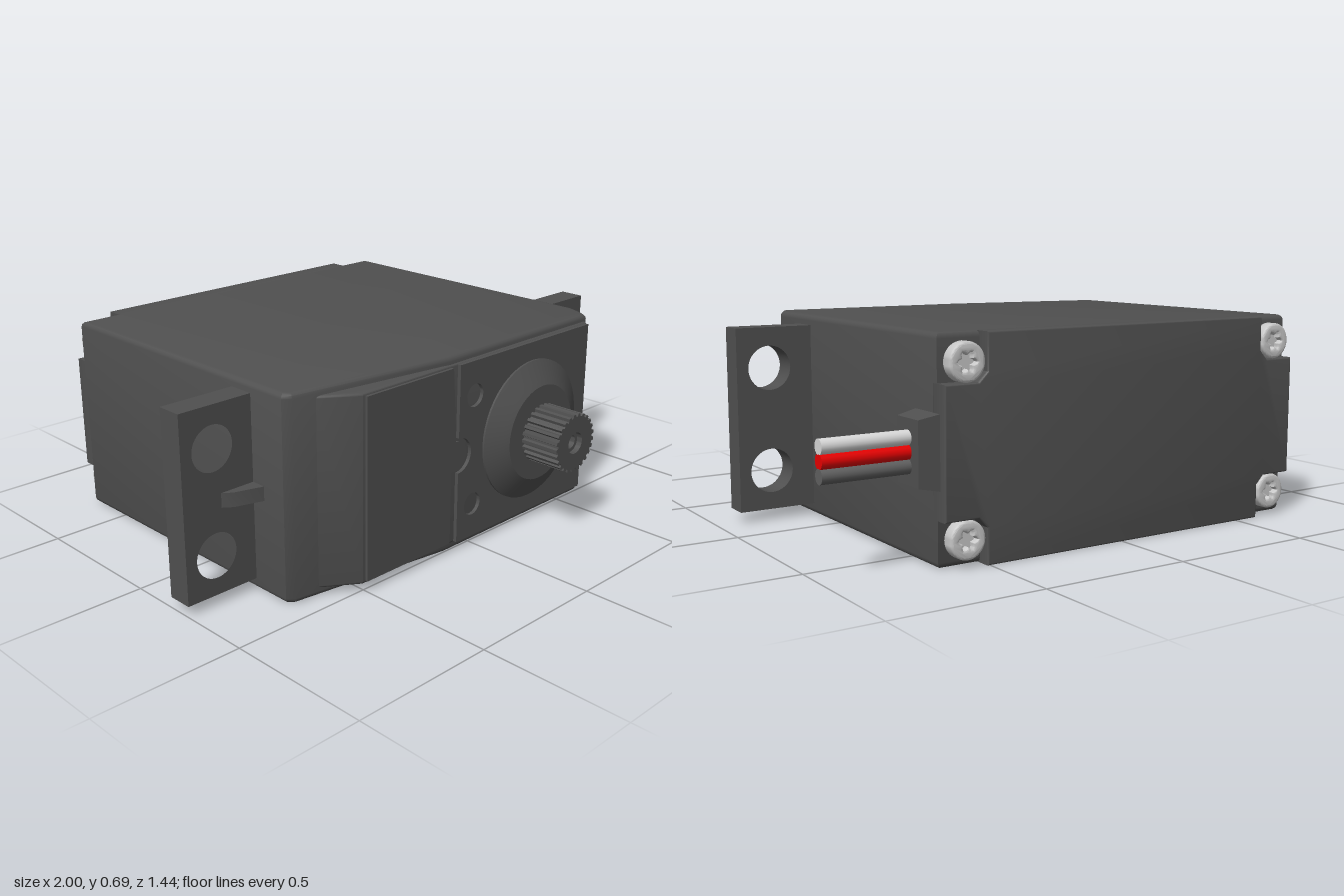
import * as THREE from 'three';
import { toCreasedNormals } from 'three/addons/utils/BufferGeometryUtils.js';

const mat = (name, color) => new THREE.MeshStandardMaterial({ name, color });
const CX = -0.04, CY = 0.348; // symmetry axis of the case

const polygon = (pts) => new THREE.Shape(pts.map(([x, y]) => new THREE.Vector2(x, y)));
const rect = (x0, y0, x1, y1) => polygon([[x0, y0], [x1, y0], [x1, y1], [x0, y1]]);
function addHole(shape, x, y, r) {
  const hole = new THREE.Path();
  hole.absarc(x, y, r, 0, Math.PI * 2, true);
  shape.holes.push(hole);
}
// extrude an xy shape between two z values
function extrudeZ(shape, z0, z1, bevel = 0) {
  const g = new THREE.ExtrudeGeometry(shape, {
    depth: z1 - z0 - 2 * bevel, curveSegments: 20, bevelEnabled: bevel > 0,
    bevelSize: bevel, bevelOffset: -bevel, bevelThickness: bevel, bevelSegments: 3,
  });
  g.translate(0, 0, z0 + bevel);
  return toCreasedNormals(g, 0.6);
}
// extrude an xz outline between two heights
function extrudeY(pts, y0, y1, bevel = 0) {
  const g = extrudeZ(polygon(pts.map(([x, z]) => [x, -z])), y0, y1, bevel);
  return g.rotateX(-Math.PI / 2);
}

export function createModel() {
  const model = new THREE.Group();
  const plastic = mat('dark plastic', 0x505050);
  const steel = mat('screw steel', 0xc8c8c8);
  const white = mat('white wire', 0xd8d8d8);
  const red = mat('red wire', 0xf00000);
  const grey = mat('grey wire', 0x606060);
  const add = (name, geometry, material = plastic, parent = model) => {
    const mesh = new THREE.Mesh(geometry, material);
    mesh.name = name;
    parent.add(mesh);
    return mesh;
  };

  // main case with sloping front left
  add('case', extrudeY([
    [-0.735, -0.675], [0.653, -0.675], [0.653, 0.41], [0.635, 0.46], [0.615, 0.5],
    [-0.12, 0.505], [-0.71, 0.42], [-0.735, 0.40],
  ], 0.003, 0.693, 0.018));

  // back cover with notched corners for the screws
  const W = 0.694, H = 0.345, n = 0.145, corner = [];
  for (const [sx, sy] of [[1, 1], [-1, 1], [-1, -1], [1, -1]]) {
    const c = [[W, H - n], [W - n + 0.03, H - n], [W - n, H - n + 0.03], [W - n, H]];
    if (sx * sy < 0) c.reverse();
    corner.push(...c.map(([x, y]) => [CX + sx * x, CY + sy * y]));
  }
  add('backCover', extrudeZ(polygon(corner), -0.72, -0.65, 0.006));

  // case screws with star sockets
  for (const sx of [-1, 1]) for (const sy of [-1, 1]) {
    const screw = new THREE.Group();
    screw.name = 'caseScrew';
    const head = new THREE.Shape();
    head.absarc(0, 0, 0.06, 0, Math.PI * 2);
    const star = [];
    for (let i = 0; i < 36; i++) {
      const a = i / 36 * Math.PI * 2, r = 0.026 + 0.006 * Math.cos(6 * a);
      star.push(new THREE.Vector2(r * Math.cos(a), r * Math.sin(a)));
    }
    head.holes.push(new THREE.Path(star));
    add('screwHead', extrudeZ(head, 0, 0.045, 0.008), steel, screw);
    const floor = add('socketFloor', new THREE.CylinderGeometry(0.04, 0.04, 0.01, 24), steel, screw);
    floor.rotation.x = Math.PI / 2;
    floor.position.z = 0.018;
    screw.rotation.y = Math.PI;
    screw.position.set(CX + sx * 0.615, CY + sy * 0.26, -0.674);
    model.add(screw);
  }

  // raised front block with chamfered ends
  add('frontBlock', extrudeY([
    [-0.63, 0.40], [-0.63, 0.43], [-0.51, 0.51], [0.605, 0.51], [0.64, 0.43], [0.64, 0.40],
  ], 0.03, 0.667, 0.008));

  // front plates, split by a groove with a round tab
  const left = new THREE.Shape();
  left.moveTo(-0.5, 0.04);
  left.lineTo(-0.115, 0.04);
  left.lineTo(-0.115, CY - 0.05);
  left.absarc(-0.095, CY, 0.052, -Math.PI / 2, Math.PI / 2);
  left.lineTo(-0.115, 0.657);
  left.lineTo(-0.5, 0.657);
  add('leftFrontPlate', extrudeZ(left, 0.505, 0.52));
  const right = new THREE.Shape();
  right.moveTo(-0.085, 0.035);
  right.lineTo(0.6, 0.035);
  right.lineTo(0.6, 0.662);
  right.lineTo(-0.085, 0.662);
  right.lineTo(-0.085, CY + 0.062);
  right.absarc(-0.085, CY, 0.062, Math.PI / 2, -Math.PI / 2, true);
  for (const s of [-1, 1]) addHole(right, -0.01, CY + s * 0.194, 0.04);
  add('rightFrontPlate', extrudeZ(right, 0.5, 0.523));

  // stepped boss around the output shaft
  const boss = new THREE.LatheGeometry([
    [0.25, 0], [0.25, 0.01], [0.19, 0.045], [0.17, 0.055], [0, 0.055],
  ].map(([r, h]) => new THREE.Vector2(r, h)), 48);
  const bossMesh = add('shaftBoss', toCreasedNormals(boss, 0.35));
  bossMesh.rotation.x = Math.PI / 2;
  bossMesh.position.set(0.285, CY, 0.52);

  // splined output shaft with a stepped bore
  const teeth = [];
  for (let i = 0; i < 25; i++) {
    [[0, 0.094], [0.3, 0.094], [0.45, 0.104], [0.85, 0.104]].forEach(([t, r]) => {
      const a = (i + t) / 25 * Math.PI * 2;
      teeth.push([r * Math.cos(a), r * Math.sin(a)]);
    });
  }
  const shaft = new THREE.Group();
  shaft.name = 'outputShaft';
  const spline = polygon(teeth);
  addHole(spline, 0, 0, 0.038);
  add('spline', extrudeZ(spline, 0.57, 0.72), plastic, shaft);
  const bore = new THREE.Shape();
  bore.absarc(0, 0, 0.045, 0, Math.PI * 2);
  addHole(bore, 0, 0, 0.025);
  add('boreStep', extrudeZ(bore, 0.57, 0.70), plastic, shaft);
  shaft.position.set(0.285, CY, 0);
  model.add(shaft);

  // mounting ears with two holes and a stiffening rib
  for (const s of [-1, 1]) {
    const X = (d) => CX + s * d;
    const ear = rect(X(0.68), 0.04, X(0.96), 0.66);
    for (const t of [-1, 1]) addHole(ear, X(0.845), CY + t * 0.175, 0.075);
    add('mountingEar', extrudeZ(ear, 0.17, 0.258));
    add('earRib', extrudeY([
      [X(0.68), 0.25], [X(0.68), 0.312], [X(0.70), 0.308], [X(0.79), 0.28], [X(0.83), 0.25],
    ], 0.324, 0.372));
  }

  // tapered cable grommet
  const grommet = new THREE.BoxGeometry(0.08, 0.23, 0.145);
  const p = grommet.attributes.position;
  for (let i = 0; i < p.count; i++) {
    if (p.getX(i) > 0) p.setXYZ(i, p.getX(i), p.getY(i) * 0.86, p.getZ(i) * 0.84);
  }
  grommet.computeVertexNormals();
  add('cableGrommet', grommet).position.set(0.68, 0.35, -0.622);

  // three wires
  [['greyWire', grey], ['redWire', red], ['whiteWire', white]].forEach(([name, material], i) => {
    const wire = add(name, new THREE.CylinderGeometry(0.023, 0.023, 0.3, 20), material);
    wire.rotation.z = Math.PI / 2;
    wire.position.set(0.85, 0.308 + i * 0.042, -0.622);
  });

  return model;
}
